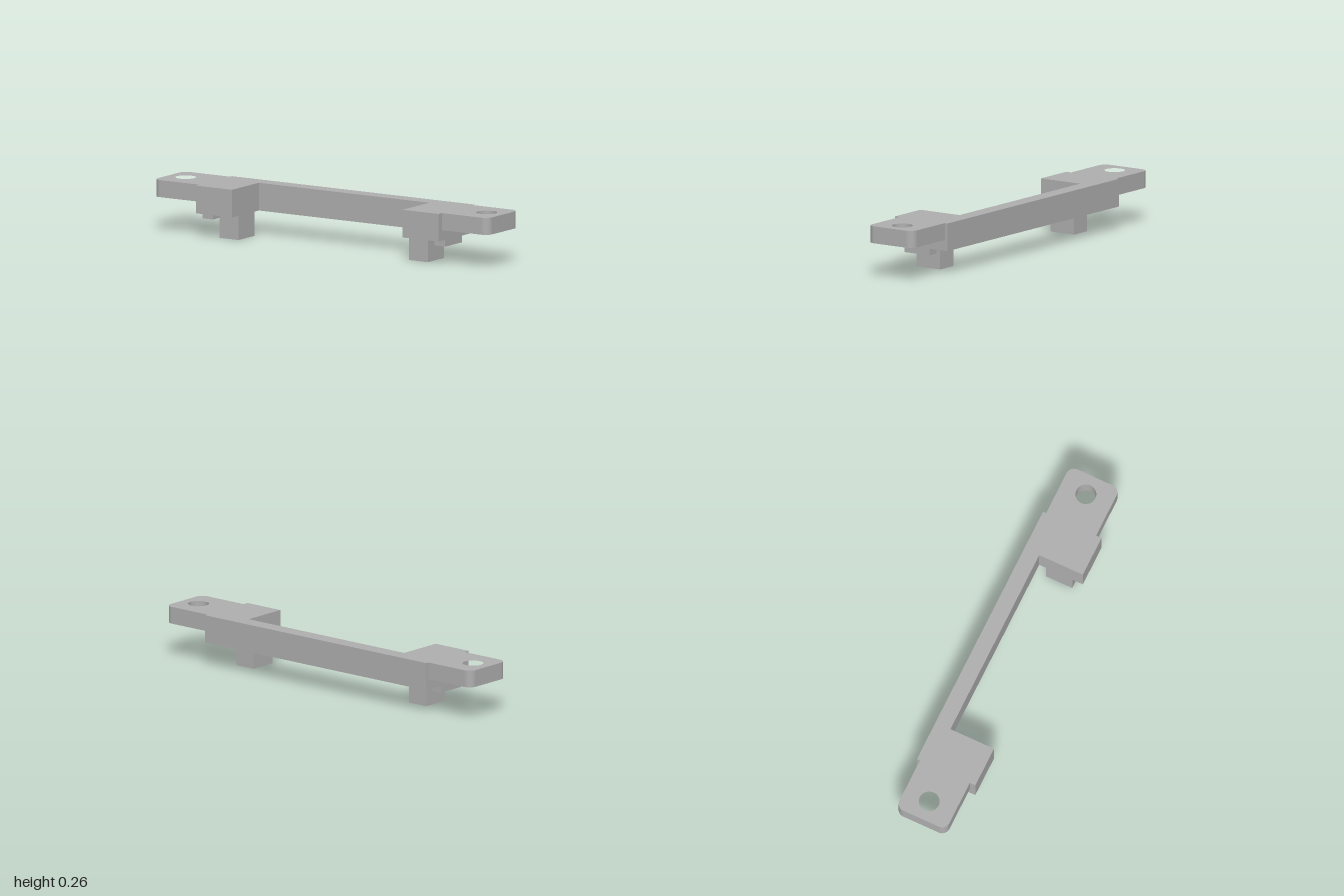
import * as THREE from 'three';

const gray = new THREE.MeshStandardMaterial({ color: 0xb0b0b0 });
gray.name = 'plain gray';

// Extrudes a plan outline (x, -z) upward from y0 to y1
function slab(name, shape, y0, y1) {
  const geo = new THREE.ExtrudeGeometry(shape, { depth: y1 - y0, bevelEnabled: false, curveSegments: 16 });
  geo.rotateX(-Math.PI / 2);
  geo.translate(0, y0, 0);
  const mesh = new THREE.Mesh(geo, gray);
  mesh.name = name;
  return mesh;
}

// Box given by its limits
function block(name, x0, x1, y0, y1, z0, z1) {
  const mesh = new THREE.Mesh(new THREE.BoxGeometry(Math.abs(x1 - x0), y1 - y0, z1 - z0), gray);
  mesh.position.set((x0 + x1) / 2, (y0 + y1) / 2, (z0 + z1) / 2);
  mesh.name = name;
  return mesh;
}

// Mounting tab with rounded outer corners and a screw hole
function tabShape(s) {
  const r = 0.04, front = -0.13, back = 0.145;
  const p = new THREE.Shape();
  p.moveTo(s * 0.725, front);
  p.lineTo(s * (1 - r), front);
  p.absarc(s * (1 - r), front + r, r, -Math.PI / 2, s > 0 ? 0 : -Math.PI, s < 0);
  p.absarc(s * (1 - r), back - r, r, s > 0 ? 0 : Math.PI, Math.PI / 2, s < 0);
  p.lineTo(s * 0.725, back);
  p.closePath();
  const hole = new THREE.Path();
  hole.absarc(s * 0.9, 0.01, 0.052, 0, Math.PI * 2, true);
  p.holes.push(hole);
  return p;
}

export function createModel() {
  const group = new THREE.Group();
  group.name = 'mountingBracket';

  // C-shaped body: rear bar with two forward arms
  const outline = [
    [-0.725, -0.16], [-0.51, -0.16], [-0.51, 0.08], [0.51, 0.08],
    [0.51, -0.16], [0.725, -0.16], [0.725, 0.162], [-0.725, 0.162],
  ].map(([x, y]) => new THREE.Vector2(x, y));
  group.add(slab('body', new THREE.Shape(outline), 0.122, 0.262));

  // Tabs, pegs and ledges on both ends
  for (const s of [1, -1]) {
    const side = s > 0 ? 'left' : 'right';
    group.add(slab(side + 'Tab', tabShape(s), 0.176, 0.262));
    group.add(block(side + 'Peg', s * 0.51, s * 0.622, 0, 0.122, -0.042, 0.102));
    group.add(block(side + 'Ledge', s * 0.662, s * 0.725, 0.088, 0.122, -0.05, 0.102));
  }
  return group;
}
